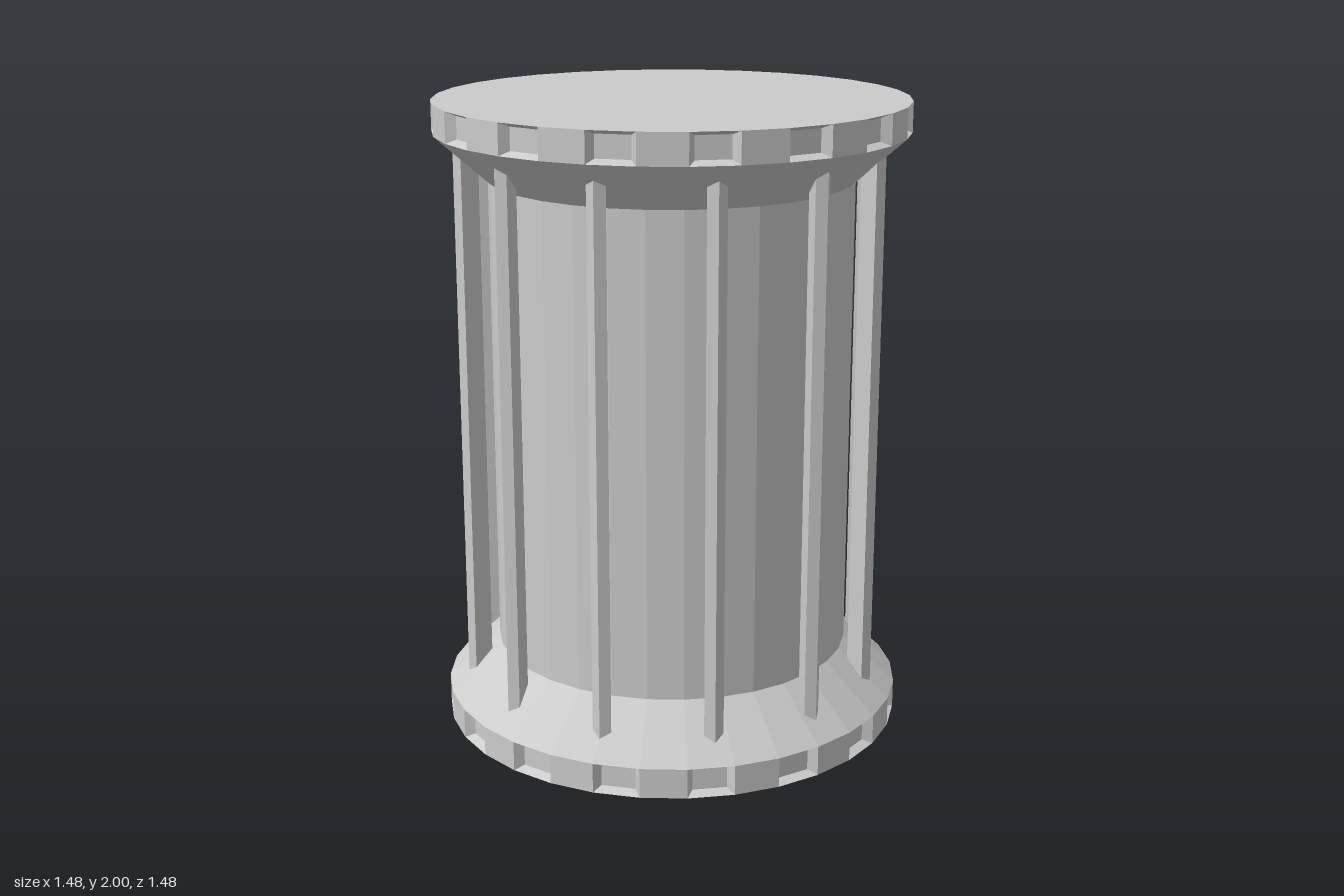
import * as THREE from 'three';

const SIDES = 32, STEP = (Math.PI * 2) / SIDES;
const RIM_R = 0.738, DRUM_R = 0.57, RIM_H = 0.095, CONE_TOP = 0.245, HEIGHT = 2;

// Rim wall: every second facet is a recessed panel with sloping borders
function rimWall() {
  const positions = [];
  const at = (k, r, y) => [Math.sin(k * STEP) * r, y, Math.cos(k * STEP) * r];
  const panel = (k, inset, lift, r) => [
    at(k + inset, r, lift), at(k + 1 - inset, r, lift),
    at(k + 1 - inset, r, RIM_H - lift), at(k + inset, r, RIM_H - lift),
  ];
  const quad = (a, b, c, d) => positions.push(...a, ...b, ...c, ...a, ...c, ...d);
  for (let k = 0; k < SIDES; k++) {
    const outer = panel(k, 0, 0, RIM_R);
    if (k % 2) {
      quad(...outer);
      continue;
    }
    const inner = panel(k, 0.12, 0.013, RIM_R - 0.03);
    quad(...inner);
    for (let i = 0; i < 4; i++) {
      const j = (i + 1) % 4;
      quad(outer[i], outer[j], inner[j], inner[i]);
    }
  }
  const geometry = new THREE.BufferGeometry();
  geometry.setAttribute('position', new THREE.Float32BufferAttribute(positions, 3));
  geometry.computeVertexNormals();
  return geometry;
}

export function createModel() {
  const model = new THREE.Group();
  const material = new THREE.MeshStandardMaterial({ color: 0xcccccc, flatShading: true });

  const add = (name, geometry, y = 0) => {
    const mesh = new THREE.Mesh(geometry, material);
    mesh.name = name;
    mesh.position.y = y;
    model.add(mesh);
    return mesh;
  };

  // Rims and the flat end caps
  const wall = rimWall();
  add('bottomRim', wall);
  add('topRim', wall, HEIGHT - RIM_H);
  const cap = new THREE.CircleGeometry(RIM_R, SIDES);
  add('bottomCap', cap).rotation.x = Math.PI / 2;
  add('topCap', cap, HEIGHT).rotation.x = -Math.PI / 2;

  // Sloping collars and the drum between them
  const coneH = CONE_TOP - RIM_H, coneY = (CONE_TOP + RIM_H) / 2;
  add('bottomCollar', new THREE.CylinderGeometry(DRUM_R, RIM_R, coneH, SIDES, 1, true), coneY);
  add('topCollar', new THREE.CylinderGeometry(RIM_R, DRUM_R, coneH, SIDES, 1, true), HEIGHT - coneY);
  add('drum', new THREE.CylinderGeometry(DRUM_R, DRUM_R, HEIGHT - 2 * CONE_TOP, SIDES, 1, true), HEIGHT / 2);

  // Twelve kite-section bars, their ends buried in the collars
  const kite = new THREE.Shape([
    new THREE.Vector2(0, -0.677), new THREE.Vector2(0.03, -0.656),
    new THREE.Vector2(0, -0.6), new THREE.Vector2(-0.03, -0.656),
  ]);
  const barStart = 0.125;
  const bar = new THREE.ExtrudeGeometry(kite, { depth: HEIGHT - 2 * barStart, bevelEnabled: false })
    .rotateX(-Math.PI / 2);
  for (let i = 0; i < 12; i++) {
    add('bar', bar, barStart).rotation.y = (i * Math.PI) / 6;
  }

  return model;
}
